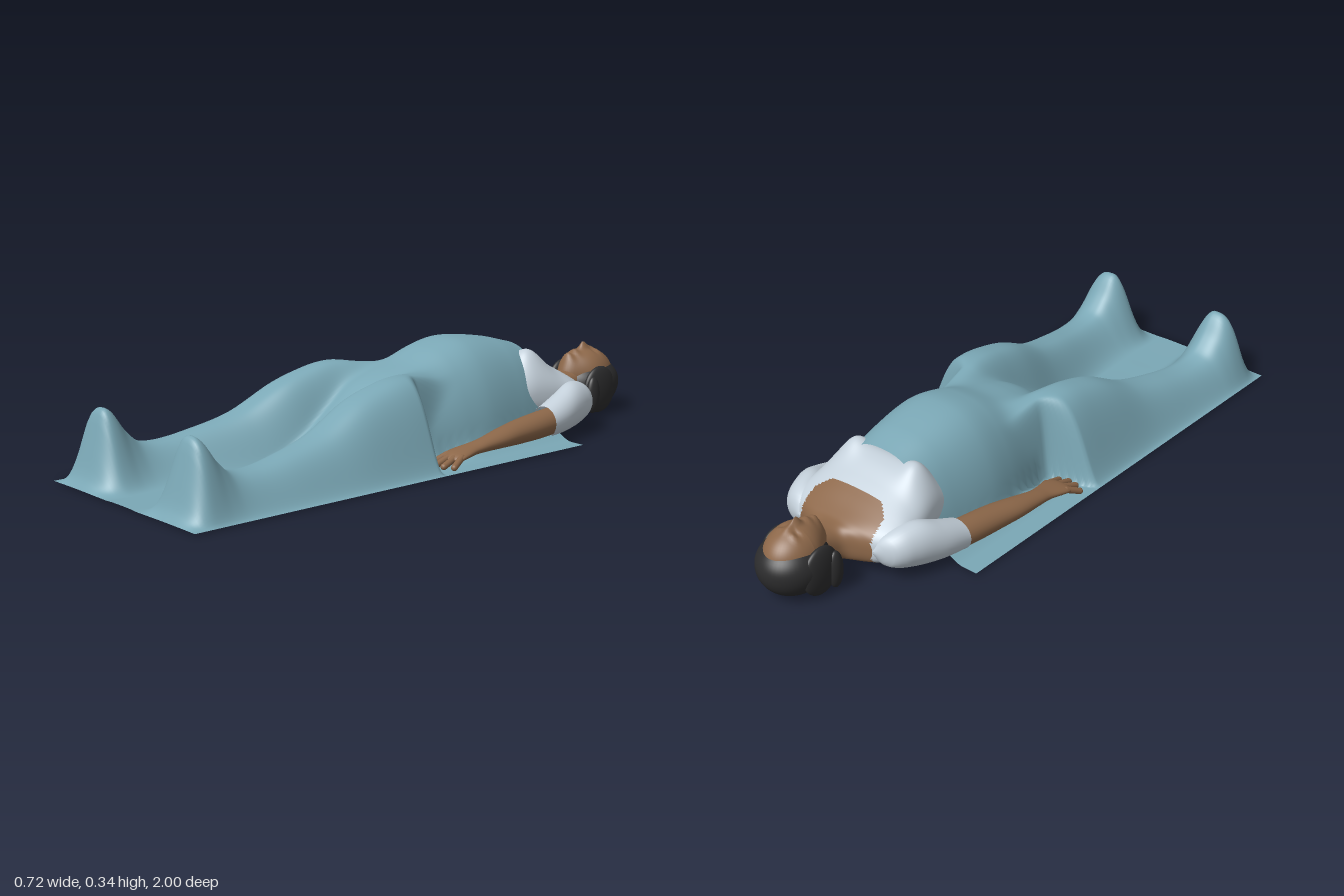
import * as THREE from 'three';

const mat = (name, color) => {
  const m = new THREE.MeshStandardMaterial({ color, side: THREE.DoubleSide });
  m.name = name;
  return m;
};

// Smooth lookup in a table of rows [z, a, b, ...]
function sample(rows, z) {
  const n = rows.length;
  if (z <= rows[0][0]) return rows[0].slice(1);
  if (z >= rows[n - 1][0]) return rows[n - 1].slice(1);
  let i = 0;
  while (rows[i + 1][0] < z) i++;
  const p = rows[i], q = rows[i + 1], h = q[0] - p[0], t = (z - p[0]) / h;
  const slope = (k, c) => {
    const a = rows[Math.max(k - 1, 0)], b = rows[Math.min(k + 1, n - 1)];
    return (b[c] - a[c]) / (b[0] - a[0]);
  };
  return p.slice(1).map((v, j) => {
    const c = j + 1, t2 = t * t, t3 = t2 * t;
    return v * (2 * t3 - 3 * t2 + 1) + q[c] * (3 * t2 - 2 * t3)
      + h * (slope(i, c) * (t3 - 2 * t2 + t) + slope(i + 1, c) * (t3 - t2));
  });
}

// Tube of rounded sections [z, cx, cy, rx, ry]; optional squareness, vertex rule and two-colour rule
function loft(rows, steps, sides, { power = 1, bump, second } = {}) {
  const pos = [], groups = [[], []];
  const z0 = rows[0][0], z1 = rows[rows.length - 1][0];
  const soft = v => Math.sign(v) * Math.abs(v) ** power;
  for (let i = 0; i <= steps; i++) {
    const z = z0 + (z1 - z0) * i / steps;
    const [cx, cy, rx, ry] = sample(rows, z);
    for (let j = 0; j < sides; j++) {
      const a = j / sides * Math.PI * 2;
      const x = cx + rx * soft(Math.cos(a));
      let y = cy + ry * soft(Math.sin(a));
      if (bump && Math.sin(a) > 0) y += bump(x, z) * Math.sin(a);
      pos.push(x, y, z);
    }
  }
  for (let i = 0; i < steps; i++) for (let j = 0; j < sides; j++) {
    const k = (j + 1) % sides;
    const a = i * sides + j, b = i * sides + k, c = b + sides, d = a + sides;
    const mid = [0, 1, 2].map(m => (pos[a * 3 + m] + pos[c * 3 + m]) / 2);
    groups[second && second(...mid) ? 1 : 0].push(a, b, c, a, c, d);
  }
  const g = new THREE.BufferGeometry();
  g.setAttribute('position', new THREE.Float32BufferAttribute(pos, 3));
  g.setIndex([...groups[0], ...groups[1]]);
  g.addGroup(0, groups[0].length, 0);
  g.addGroup(groups[0].length, groups[1].length, 1);
  g.computeVertexNormals();
  return g;
}

// Blanket: torso [z, height, half width] and legs [z, height, centre x]
const TORSO = [[-0.5, 0.283, 0.192], [-0.4, 0.31, 0.21], [-0.25, 0.33, 0.228], [-0.15, 0.313, 0.222],
  [-0.05, 0.276, 0.205], [0.05, 0.25, 0.185], [0.12, 0.222, 0.16], [0.2, 0.165, 0.13], [0.3, 0.095, 0.1],
  [0.4, 0.045, 0.08], [0.55, 0.012, 0.07], [0.8, 0.002, 0.07], [1, 0.002, 0.07]];
const LEGS = [[-0.17, 0.13, 0.13], [-0.05, 0.23, 0.135], [0.05, 0.268, 0.146], [0.12, 0.273, 0.153],
  [0.2, 0.26, 0.157], [0.3, 0.23, 0.163], [0.45, 0.157, 0.18], [0.6, 0.121, 0.197], [0.72, 0.106, 0.208],
  [0.8, 0.119, 0.213], [0.85, 0.165, 0.215], [0.895, 0.226, 0.215], [0.925, 0.224, 0.215],
  [0.95, 0.135, 0.215], [0.975, 0.043, 0.215], [1, 0.001, 0.215]];

function blanketHeight(x, z) {
  const ax = Math.abs(x), { lerp, smoothstep } = THREE.MathUtils;
  const [th, tw] = sample(TORSO, z);
  const torso = th * Math.pow(Math.max(0, 1 - Math.pow(ax / tw, 2.6)), 0.55);
  const [lh, c] = sample(LEGS, z);
  const outer = lerp(0.06, 0.36 - c, smoothstep(z, 0.03, 0.095));
  const shin = smoothstep(z, 0.3, 0.85);
  const t = Math.min(1, ax > c ? (ax - c) / outer : (c - ax) / lerp(0.165, 0.168, shin));
  const leg = lh * (ax > c ? Math.pow(1 - t ** 3, 2) : Math.pow(1 - t ** lerp(2.4, 2, shin), lerp(2, 3.3, shin)));
  // Slack cloth running from the waist out under the arms
  const slack = 0.04 * (1 - smoothstep(ax, 0.2, 0.31)) * (1 - smoothstep(z, -0.15, 0));
  return 0.005 + Math.pow(torso ** 7 + leg ** 7 + slack ** 7, 1 / 7);
}

export function createModel() {
  const root = new THREE.Group();
  const blue = mat('blanketBlue', 0x7ba8b6);
  const skin = mat('skin', 0x8c6749);
  const white = mat('blouseWhite', 0xc4d0da);
  const black = mat('hairBlack', 0x2c2c2d);

  const add = (name, geo, material, parent = root) => {
    const m = new THREE.Mesh(geo, material);
    m.name = name;
    parent.add(m);
    return m;
  };
  const blob = (name, material, p, r, parent, rule) => {
    const g = new THREE.SphereGeometry(1, 48, 36).scale(...r).translate(...p);
    if (rule) {
      const a = g.attributes.position, v = new THREE.Vector3();
      for (let i = 0; i < a.count; i++) {
        rule(v.fromBufferAttribute(a, i));
        a.setXYZ(i, v.x, v.y, v.z);
      }
      g.computeVertexNormals();
    }
    add(name, g, material, parent);
  };

  // Draped blanket
  const sheet = new THREE.PlaneGeometry(0.72, 1.5, 120, 190).rotateX(-Math.PI / 2).translate(0, 0, 0.25);
  const sp = sheet.attributes.position;
  for (let i = 0; i < sp.count; i++) sp.setY(i, blanketHeight(sp.getX(i), sp.getZ(i)));
  sheet.computeVertexNormals();
  add('blanket', sheet, blue);

  // Neck, shoulders and chest, with a scooped blouse
  const chest = [[-0.82, 0.052, 0.16, 0.06], [-0.76, 0.056, 0.15, 0.04], [-0.735, 0.072, 0.15, 0.035],
    [-0.717, 0.115, 0.153, 0.032], [-0.7, 0.162, 0.16, 0.03], [-0.67, 0.207, 0.175, 0.025],
    [-0.63, 0.218, 0.198, 0.018], [-0.58, 0.21, 0.226, 0.01], [-0.52, 0.2, 0.255, 0.01],
    [-0.47, 0.19, 0.26, 0.01], [-0.42, 0.18, 0.235, 0.01]]
    .map(([z, w, top, bot]) => [z, 0, (top + bot) / 2, w, (top - bot) / 2]);
  const bust = (x, z) => 0.045 * Math.exp(-(((Math.abs(x) - 0.13) / 0.05) ** 2) - ((z + 0.485) / 0.055) ** 2);
  const bare = (x, y, z) => {
    const ax = Math.abs(x);
    if (z < -0.722) return true;
    const hem = (y > 0.1 ? -0.613 : -0.54) - 0.9 * Math.max(0, ax - 0.1);
    return ax < 0.138 && z < hem;
  };
  add('chest', loft(chest, 110, 140, { power: 0.85, bump: bust, second: bare }), [white, skin]);

  // Arms, sleeves and hands
  for (const s of [1, -1]) {
    const arm = new THREE.Group();
    arm.name = s > 0 ? 'leftArm' : 'rightArm';
    root.add(arm);
    const side = rows => rows.map(([z, x, ...rest]) => [z, s * x, ...rest]);
    add('sleeve', loft(side([[-0.708, 0.15, 0.095, 0.004, 0.004], [-0.695, 0.168, 0.095, 0.038, 0.036],
      [-0.67, 0.182, 0.097, 0.054, 0.055], [-0.63, 0.196, 0.098, 0.06, 0.068], [-0.58, 0.212, 0.095, 0.061, 0.073],
      [-0.52, 0.23, 0.082, 0.058, 0.063], [-0.445, 0.242, 0.067, 0.053, 0.05]]), 30, 32), white, arm);
    add('forearm', loft(side([[-0.49, 0.241, 0.068, 0.046, 0.043], [-0.4, 0.251, 0.064, 0.048, 0.042],
      [-0.3, 0.262, 0.06, 0.047, 0.037], [-0.22, 0.275, 0.057, 0.042, 0.03], [-0.13, 0.284, 0.05, 0.032, 0.021],
      [-0.09, 0.282, 0.045, 0.034, 0.018], [-0.04, 0.282, 0.038, 0.044, 0.016], [-0.01, 0.284, 0.033, 0.044, 0.013],
      [0.005, 0.284, 0.03, 0.03, 0.007], [0.01, 0.284, 0.03, 0.002, 0.002]]), 60, 28), skin, arm);
    // Fingers as [base x, base z, tip x, tip z], thumb first
    const fingers = [[0.252, -0.07, 0.226, -0.008], [0.252, -0.02, 0.244, 0.034], [0.274, -0.015, 0.273, 0.046],
      [0.296, -0.015, 0.303, 0.042], [0.315, -0.02, 0.332, 0.026]];
    for (const [bx, bz, tx, tz] of fingers) {
      const a = new THREE.Vector3(s * bx, 0.036, bz), b = new THREE.Vector3(s * tx, 0.016, tz);
      const f = add('finger', new THREE.CapsuleGeometry(0.0105, a.distanceTo(b), 5, 12), skin, arm);
      f.position.copy(a).add(b).multiplyScalar(0.5);
      f.quaternion.setFromUnitVectors(new THREE.Vector3(0, 1, 0), b.sub(a).normalize());
    }
  }

  // Head: one face surface, tapering to the chin and swelling into brow, nose, lips and chin
  const head = new THREE.Group();
  head.name = 'head';
  root.add(head);
  // Swellings [x, z, width, length, height]
  const swells = [[0, -0.864, 0.011, 0.014, 0.02], [0, -0.885, 0.009, 0.025, 0.009], [0, -0.822, 0.022, 0.01, 0.012],
    [0, -0.79, 0.028, 0.015, 0.02], [0.03, -0.907, 0.022, 0.008, 0.005], [-0.03, -0.907, 0.022, 0.008, 0.005],
    [0.03, -0.89, 0.014, 0.007, -0.005], [-0.03, -0.89, 0.014, 0.007, -0.005]];
  blob('face', skin, [0, 0.128, -0.871], [0.084, 0.086, 0.109], head, v => {
    v.x *= 1 - 0.24 * THREE.MathUtils.smoothstep(v.z, -0.87, -0.77);
    if (v.y < 0.13) return;
    for (const [x, z, w, l, h] of swells) v.y += h * Math.exp(-(((v.x - x) / w) ** 2) - ((v.z - z) / l) ** 2);
  });

  // Bobbed hair around the back and sides of the head
  blob('hair', black, [0, 0.1, -0.885], [0.104, 0.1, 0.115], head, v => {
    if (v.y > 0.1) v.y = 0.1 + (v.y - 0.1) * 0.84;
  });
  for (const s of [1, -1]) {
    blob('hairSide', black, [s * 0.085, 0.087, -0.86], [0.024, 0.079, 0.07], head);
    blob('hairTip', black, [s * 0.1, 0.075, -0.815], [0.019, 0.062, 0.027], head);
  }
  return root;
}
